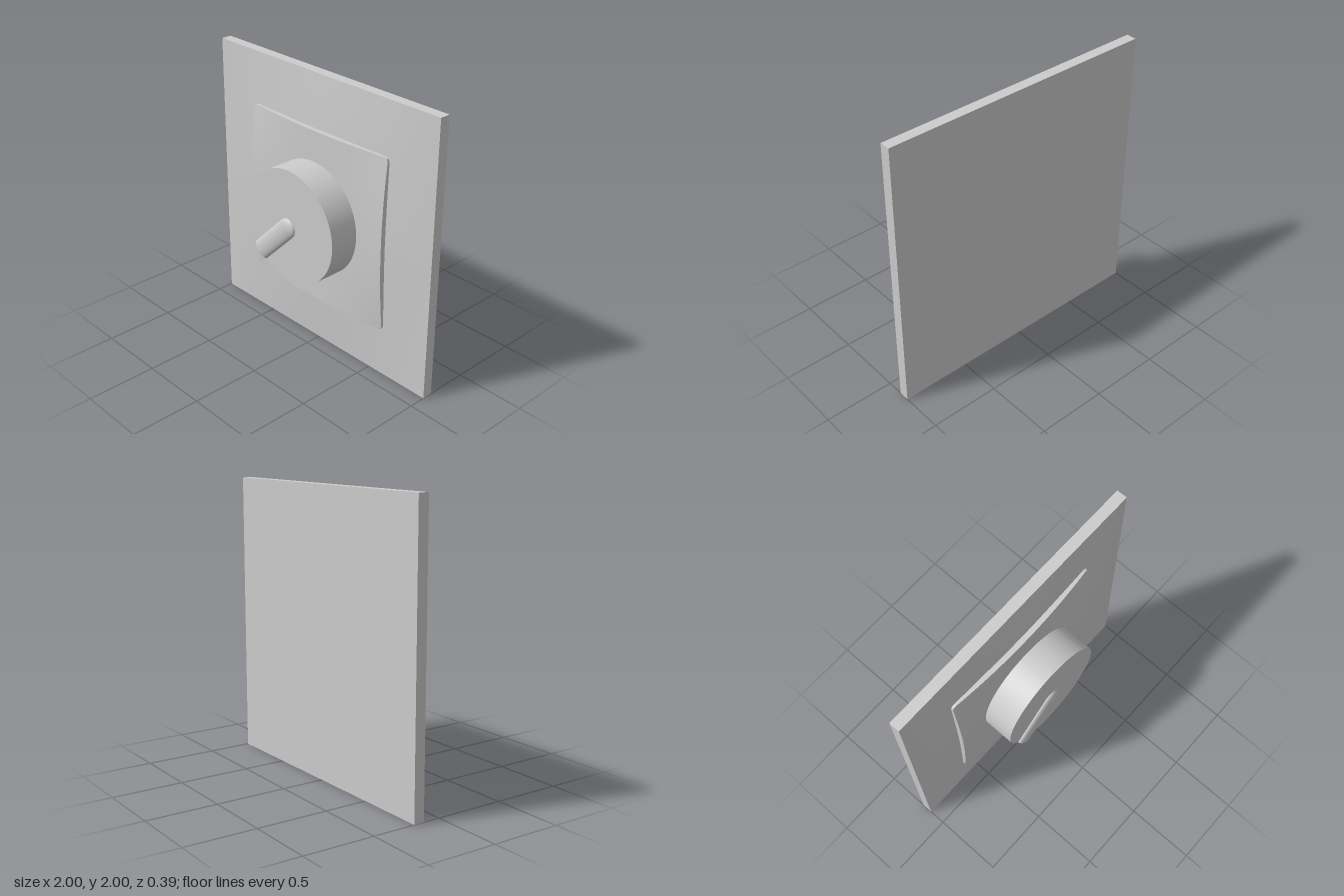
import * as THREE from 'three';

const material = new THREE.MeshStandardMaterial({ color: 0xcccccc });

function add(parent, name, geometry, x = 0, y = 0, z = 0) {
  const mesh = new THREE.Mesh(geometry, material);
  mesh.name = name;
  mesh.position.set(x, y, z);
  parent.add(mesh);
  return mesh;
}

// Square slab whose front face follows frontZ(x, y); corners optionally clipped round
function curvedSlab(half, segments, backZ, frontZ, corner = 0) {
  const g = new THREE.BoxGeometry(2 * half, 2 * half, 1, segments, segments, 1);
  const p = g.attributes.position;
  const inner = half - corner;
  for (let i = 0; i < p.count; i++) {
    let x = p.getX(i), y = p.getY(i);
    const dx = Math.abs(x) - inner, dy = Math.abs(y) - inner;
    if (corner && dx > 1e-4 && dy > 1e-4) {
      const k = corner / Math.hypot(dx, dy);
      x = Math.sign(x) * (inner + dx * k);
      y = Math.sign(y) * (inner + dy * k);
    }
    p.setXYZ(i, x, y, p.getZ(i) > 0 ? frontZ(x, y) : backZ);
  }
  g.computeVertexNormals();
  return g;
}

export function createModel() {
  const model = new THREE.Group();
  model.name = 'rotarySwitch';

  // Wall plate: straight rim, gently pillowed front
  const rise = (t) => 1 - Math.pow(Math.min(1, Math.abs(t)), 1.5);
  add(model, 'wallPlate',
    curvedSlab(1, 40, -0.195, (x, y) => -0.12 + 0.06 * rise(x) * rise(y)), 0, 1);

  // Centre panel: level along its axes, falling away towards the corners
  const half = 0.63;
  add(model, 'centrePanel',
    curvedSlab(half, 42, -0.115,
      (x, y) => -0.053 - 0.037 * (x / half) ** 2 * (y / half) ** 2, 0.03), 0, 1);

  // Round knob
  const knobFront = 0.165, knobBack = -0.08, depth = knobFront - knobBack;
  add(model, 'knob', new THREE.CylinderGeometry(0.41, 0.41, depth, 96).rotateX(Math.PI / 2),
    0, 1, (knobFront + knobBack) / 2);

  // Raised pointer: flattened half-round bar from the middle to the lower rim
  const pointer = new THREE.Group();
  pointer.name = 'pointer';
  const r = 0.072, start = -0.022, end = -0.404;
  add(pointer, 'pointerBar', new THREE.CylinderGeometry(r, r, start - end, 40), 0, (start + end) / 2);
  add(pointer, 'pointerTip', new THREE.SphereGeometry(r, 40, 24), 0, start);
  pointer.position.set(0, 1, knobFront);
  pointer.rotation.z = -Math.PI / 4;
  pointer.scale.z = 0.03 / r;
  model.add(pointer);

  return model;
}
